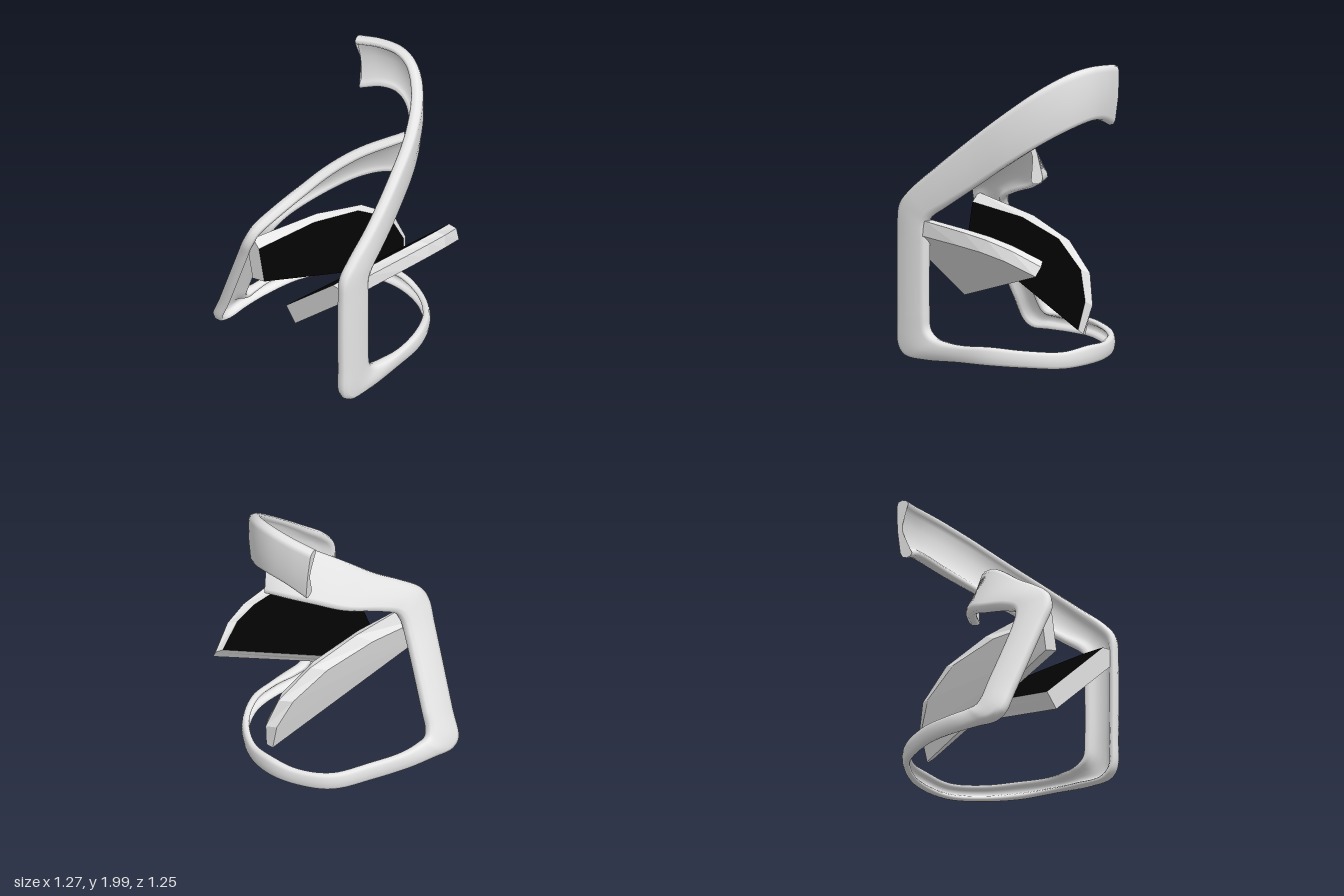
import * as THREE from 'three';

const shell = new THREE.MeshStandardMaterial({ color: 0xf6f6f6 });
shell.name = 'white shell';
const black = new THREE.MeshStandardMaterial({ color: 0x030303 });
black.name = 'black pad';

const V = (p) => new THREE.Vector3(...p);

// Outer and inner edge of the one continuous ribbon, from the tall arm's tip to the short arm's tip
const outerEdge = [
  // tall arm
  [-.325, 1.955, -.515], [-.17, 1.985, -.56], [0, 2, -.575], [.15, 1.975, -.54], [.3, 1.885, -.43],
  [.42, 1.73, -.25], [.5, 1.52, 0], [.55, 1.3, .26], [.565, 1.13, .46],
  // upright leg
  [.565, 1.02, .545], [.565, .85, .56], [.565, .3, .56], [.565, .08, .55],
  // floor loop
  [.565, .02, .49], [.565, .015, .3], [.565, .04, .05], [.53, .05, -.2], [.41, .045, -.4], [.21, .025, -.54],
  [0, .025, -.58], [-.2, .025, -.54], [-.4, .03, -.42], [-.52, .045, -.18], [-.585, .03, .1], [-.61, .02, .3],
  // leaning leg
  [-.62, .015, .45], [-.61, .06, .515], [-.53, .24, .54], [-.3, .78, .605], [-.235, .93, .62],
  // short arm
  [-.2, 1.03, .58], [-.15, 1.13, .45], [-.09, 1.24, .28], [0, 1.38, .1], [.12, 1.5, -.07], [.32, 1.625, -.29],
];
const innerEdge = [
  [-.28, 1.56, -.515], [-.13, 1.625, -.56], [0, 1.64, -.575], [.14, 1.605, -.54], [.28, 1.515, -.43],
  [.39, 1.38, -.26], [.48, 1.18, 0], [.53, 1.045, .18], [.555, .97, .28],
  [.56, .92, .31], [.56, .8, .31], [.56, .32, .31], [.56, .22, .3],
  [.56, .175, .25], [.57, .16, .15], [.57, .16, 0], [.53, .175, -.2], [.41, .16, -.4], [.21, .14, -.54],
  [0, .155, -.58], [-.2, .14, -.54], [-.4, .15, -.42], [-.52, .17, -.18], [-.575, .16, .05], [-.575, .16, .2],
  [-.57, .17, .27], [-.55, .22, .3], [-.51, .32, .31], [-.31, .78, .36], [-.265, .9, .36],
  [-.24, .96, .33], [-.21, 1.02, .22], [-.12, 1.11, -.03], [0, 1.19, -.2], [.12, 1.23, -.31], [.26, 1.24, -.38],
];

// Ribbon section: rounded back, rolled rims and a shallow hollow on the inside
function section(h) {
  const r = Math.min(.04, h * .4);
  const half = [
    [h, 0], [h - r * .25, r * .75], [h - r * .75, r], [h - r * 1.25, r * .6], [h - r * 1.7, r * .05], [h * .2, -.012],
  ];
  const back = [[-h + r * .25, -r * .7], [-h + r, -r], [0, -r * 1.2], [h - r, -r], [h - r * .25, -r * .7]];
  return [...half, ...half.map(([w, n]) => [-w, n]).reverse(), ...back];
}

function ribbonGeometry(steps) {
  const a = new THREE.CatmullRomCurve3(outerEdge.map(V));
  const b = new THREE.CatmullRomCurve3(innerEdge.map(V));
  const mid = (t) => a.getPoint(t).add(b.getPoint(t)).multiplyScalar(.5);
  const pos = [], index = [];
  let count = 0;
  const ring = (t) => {
    const A = a.getPoint(t), B = b.getPoint(t), c = mid(t);
    const T = mid(Math.min(1, t + .004)).sub(mid(Math.max(0, t - .004)));
    const W = A.clone().sub(B), h = W.length() / 2;
    W.normalize();
    const N = T.cross(W).normalize();
    const pts = section(h).map(([w, n]) => c.clone().addScaledVector(W, w).addScaledVector(N, n));
    count = pts.length;
    return { pts, centre: c.addScaledVector(N, -.02) };
  };
  for (let k = 0; k <= steps; k++) ring(k / steps).pts.forEach((p) => pos.push(p.x, p.y, p.z));
  for (let k = 0; k < steps; k++) {
    for (let j = 0; j < count; j++) {
      const n = (j + 1) % count, p = k * count, q = p + count;
      index.push(p + j, p + n, q + n, p + j, q + n, q + j);
    }
  }
  // end caps on their own vertices, so the ends stay crisp
  for (const t of [0, 1]) {
    const { pts, centre } = ring(t), base = pos.length / 3;
    [centre, ...pts].forEach((p) => pos.push(p.x, p.y, p.z));
    for (let j = 0; j < count; j++) {
      const p = base + 1 + j, q = base + 1 + (j + 1) % count;
      index.push(base, ...(t ? [p, q] : [q, p]));
    }
  }
  const g = new THREE.BufferGeometry();
  g.setAttribute('position', new THREE.Float32BufferAttribute(pos, 3));
  g.setIndex(index);
  g.computeVertexNormals();
  return g;
}

function facetMesh(name, triangles, material) {
  const g = new THREE.BufferGeometry().setFromPoints(triangles);
  g.computeVertexNormals();
  const m = new THREE.Mesh(g, material);
  m.name = name;
  return m;
}

// Fan-shaped pad: black front face, rim bulging at mid depth, flat back; depth runs from front end to rear tip
function pad(name, corner, arc, { frontDepth, tipDepth, backInset, tipFirst }) {
  const c = V(corner), m = arc.length - 1;
  const layer = (deep, bulge, tipBulge) => [
    c.clone().addScaledVector(V(frontDepth), deep),
    ...arc.map((p, i) => {
      const toTip = tipFirst ? 1 - i / m : i / m;
      const d = V(frontDepth).lerp(V(tipDepth), toTip);
      const ray = V(p).sub(c);
      const reach = ray.length() + THREE.MathUtils.lerp(bulge, tipBulge, toTip ** 2);
      return ray.setLength(reach).add(c).addScaledVector(d, deep);
    }),
  ];
  const rings = [layer(0, 0, 0), layer(.4, .07, .025), layer(1, -backInset, 0)];
  const fan = (r, flip) => r.slice(1, -1).flatMap((p, i) => flip ? [r[0], r[i + 2], p] : [r[0], p, r[i + 2]]);
  const body = fan(rings[2], true);
  for (let k = 0; k < 2; k++) {
    rings[k].forEach((p, j) => {
      const n = (j + 1) % rings[k].length;
      const q = rings[k + 1][j], q2 = rings[k + 1][n];
      body.push(p, q, q2, p, q2, rings[k][n]);
    });
  }
  const group = new THREE.Group();
  group.name = name;
  group.add(facetMesh(name + 'Shell', body, shell), facetMesh(name + 'Face', fan(rings[0], false), black));
  return group;
}

export function createModel() {
  const model = new THREE.Group();
  model.name = 'ribbonChair';

  const frame = new THREE.Mesh(ribbonGeometry(210), shell);
  frame.name = 'ribbonFrame';
  model.add(frame);

  // Broad seat pad, hung from the upright leg; its heights follow from a sloping plane
  const slope = ([x, z]) => [x, .43 + (.518 * (x + .04) + .05 * (z - .44)) / .548, z];
  const seatArc = [[.46, .52], [.505, .32], [.525, 0], [.53, -.2], [.51, -.38], [.44, -.58]].map(slope);
  model.add(pad('seatPad', slope([-.04, .44]), seatArc, {
    frontDepth: [.09, -.094, .009], tipDepth: [.08, -.09, -.01], backInset: 0, tipFirst: false,
  }));

  // Steep back pad, hung from the leaning leg
  const steep = ([y, z]) => [-.11 - (.2 * (y - .66) + .08 * (z - .57)) / .975, y, z];
  const backArc = [[.26, -.55], [.45, -.58], [.64, -.5], [.8, -.26], [.88, .1], [.9, .57]].map(steep);
  model.add(pad('backPad', steep([.66, .57]), backArc, {
    frontDepth: [-.11, -.035, -.005], tipDepth: [-.06, -.04, -.01], backInset: .05, tipFirst: true,
  }));

  return model;
}
